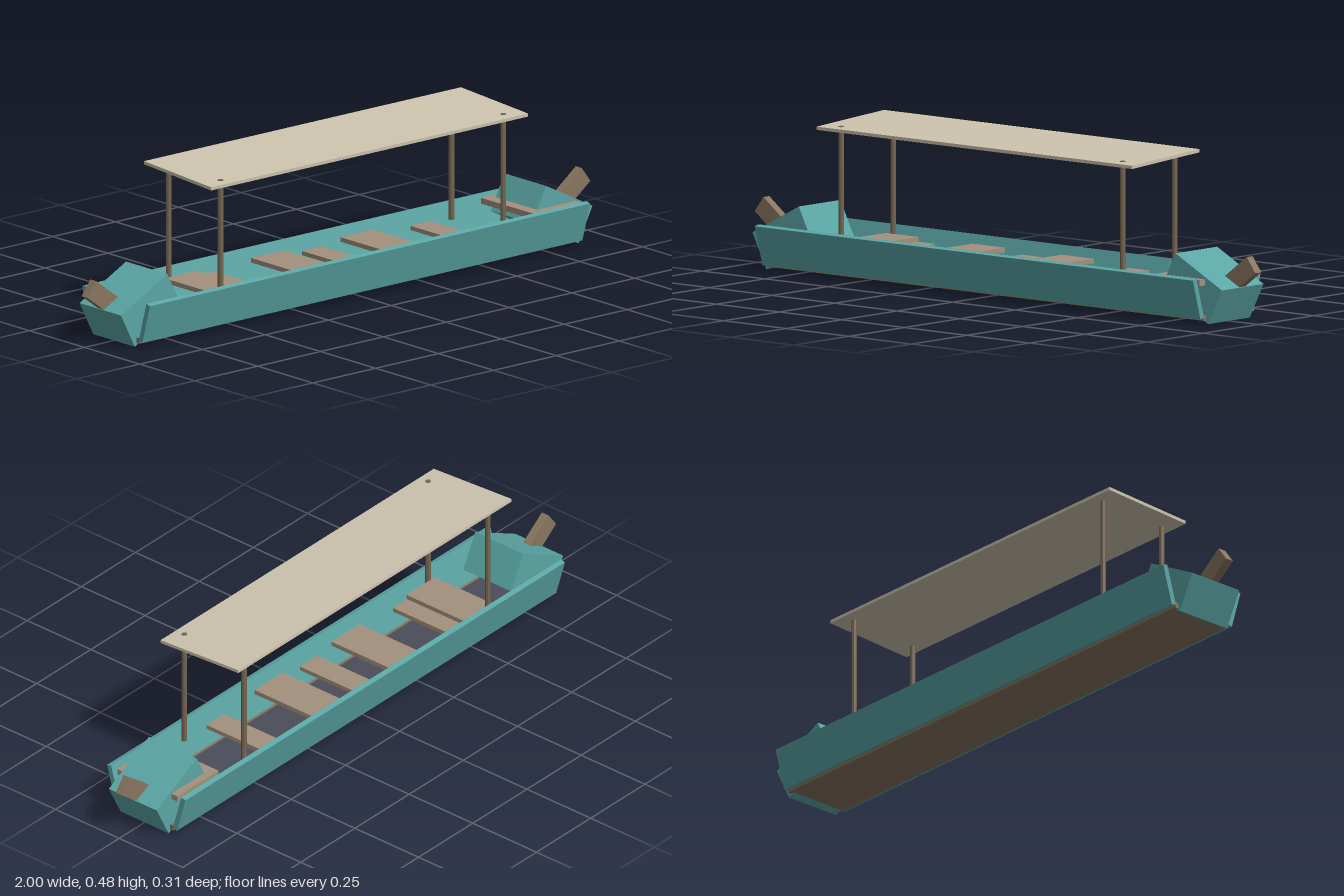
import * as THREE from 'three';

const flat = (name, color) => {
  const m = new THREE.MeshStandardMaterial({ color });
  m.name = name;
  return m;
};

export function createModel() {
  const teal = flat('teal paint', 0x5aa6a5);
  const wood = flat('seat wood', 0xa4917d);
  const timber = flat('hull timber', 0x88755f);
  const postWood = flat('post wood', 0x75654f);
  const slate = flat('slate floor', 0x4a4e5a);
  const cream = flat('cream canopy', 0xcdc4ae);

  const boat = new THREE.Group();
  boat.name = 'canopyBoat';

  const add = (name, geometry, material, x, y, z) => {
    const mesh = new THREE.Mesh(geometry, material);
    mesh.name = name;
    mesh.position.set(x, y, z);
    boat.add(mesh);
    return mesh;
  };
  const box = (name, material, [w, h, d], [x, y, z]) =>
    add(name, new THREE.BoxGeometry(w, h, d), material, x, y, z);

  // Hull bottom and inner floor
  box('hullBottom', timber, [1.75, 0.017, 0.212], [0, 0.02, 0]);
  box('floor', slate, [1.74, 0.006, 0.182], [0, 0.0315, 0]);

  // Flared side planks
  for (const s of [1, -1]) {
    const side = box('sidePlank', teal, [1.75, 0.126, 0.0165], [0, 0.0795, s * 0.129]);
    side.rotation.x = s * 0.274;
  }

  // Tilted end blocks, each with a protruding stem
  for (const s of [1, -1]) {
    const end = box('endBlock', teal, [0.208, 0.12, 0.188], [s * 0.8175, 0.102, 0]);
    end.rotation.z = -s * 0.475;
    const stem = box('stem', timber, [0.12, 0.0575, 0.027], [s * 0.9345, 0.144, 0]);
    stem.rotation.z = s * 0.645;
  }

  // Wide seats, narrow cross thwarts and the end bench
  for (const x of [-0.52, -0.175, 0.18])
    box('wideSeat', wood, [0.13, 0.014, 0.222], [x, 0.11, 0]);
  for (const x of [-0.43, 0, 0.43])
    box('thwart', wood, [0.08, 0.013, 0.216], [x, 0.0965, 0]);
  box('endBench', wood, [0.19, 0.018, 0.236], [0.775, 0.126, 0]);

  // Canopy posts; the front pair just pierces the sloping canopy
  const post = new THREE.CylinderGeometry(0.0085, 0.0085, 0.376, 8).toNonIndexed();
  post.computeVertexNormals();
  for (const x of [-0.562, 0.562])
    for (const z of [-0.117, 0.117]) add('canopyPost', post, postWood, x, 0.278, z);

  // Sloping canopy
  const canopy = box('canopy', cream, [1.26, 0.01, 0.305], [0, 0.466, 0]);
  canopy.rotation.x = 0.06;

  return boat;
}
